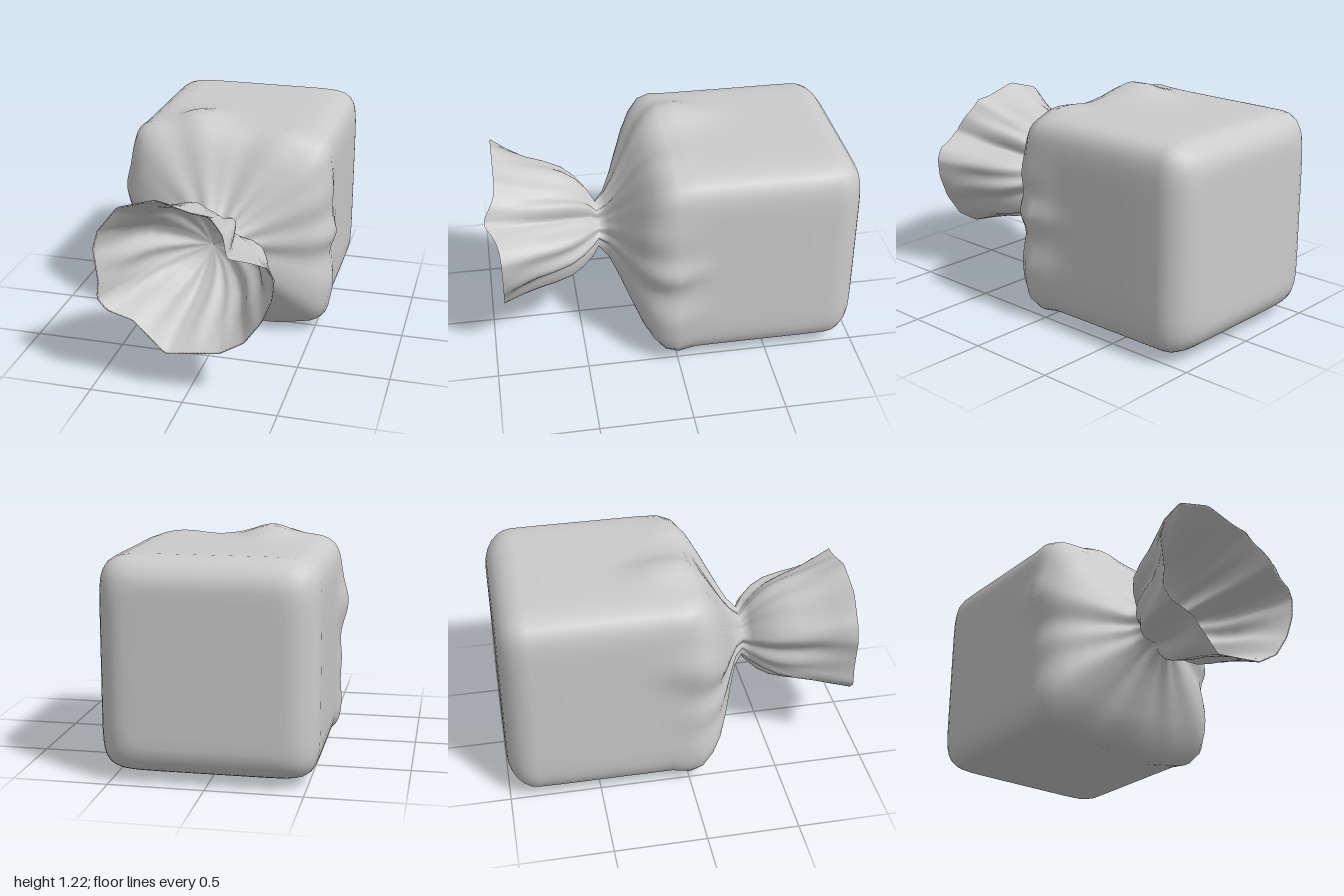
import * as THREE from 'three';

const SIDES = 120;

// Ragged outline of the open mouth, [x, y], counter-clockwise
const MOUTH_Y = 0.62;
const LIP = [
  [0.46, 0.72], [0.43, 0.78], [0.24, 0.84], [0.21, 0.93], [0.13, 1.02], [0.04, 1.03], [-0.14, 1.08],
  [-0.34, 1.02], [-0.45, 0.88], [-0.48, 0.78], [-0.46, 0.6], [-0.47, 0.5], [-0.42, 0.44], [-0.28, 0.4],
  [-0.11, 0.23], [0.04, 0.25], [0.18, 0.27], [0.31, 0.35], [0.4, 0.48], [0.45, 0.61],
].map(([x, y]) => new THREE.Vector2(x, y - MOUTH_Y));

// Shoulder drawn in to the neck: z, half width, half height
const SHOULDER = [
  [0, 0.575, 0.57], [0.07, 0.565, 0.55], [0.13, 0.53, 0.49], [0.18, 0.48, 0.41],
  [0.23, 0.39, 0.32], [0.28, 0.28, 0.235], [0.33, 0.18, 0.165], [0.38, 0.13, 0.12],
];

// Flare from the neck to the rim: z, share of the mouth outline
const FLARE = [[0.42, 0.12], [0.48, 0.33], [0.55, 0.5], [0.64, 0.62], [0.74, 0.72], [0.84, 0.86], [0.93, 1]];

// Bulges near the shoulder: angle, z, height, angular width, z width
const BULGES = [
  [1.87, -0.08, 0.065, 0.22, 0.16],
  [-1.24, -0.02, 0.035, 0.22, 0.16],
  [2.8, 0, 0.03, 0.16, 0.14],
  [0.02, 0, 0.022, 0.12, 0.12],
  [-0.45, 0.03, 0.025, 0.14, 0.14],
];

const { lerp, clamp } = THREE.MathUtils;
const bell = (t) => Math.exp(-t * t);
const angleGap = (a, b) => Math.atan2(Math.sin(a - b), Math.cos(a - b));

// Distance to the mouth outline along direction a
function lipRadius(a) {
  const d = new THREE.Vector2(Math.cos(a), Math.sin(a));
  for (let i = 0; i < LIP.length; i++) {
    const p = LIP[i];
    const e = LIP[(i + 1) % LIP.length].clone().sub(p);
    const den = d.cross(e);
    const t = p.cross(e) / den;
    const u = p.cross(d) / den;
    if (t > 0 && u >= -1e-6 && u <= 1 + 1e-6) return t;
  }
  return 0.4;
}

// Gathered cloth: irregular radial folds with one deep crease
function folds(a) {
  return 0.7 * Math.sin(7 * a + 0.6) + 0.55 * Math.sin(11 * a + 2.1 + Math.sin(2 * a))
    + 0.3 * Math.sin(17 * a + 1.3) - 1.6 * bell(angleGap(a, 0.85) / 0.1);
}

// Rings from the back, over the body, out to the rim and back inside the funnel
function makeRings() {
  const rings = [];
  const add = (z, w, h, cy, n, fold, blend) => rings.push({ z, w, h, cy, n, fold, blend });

  // Flat back with a rounded edge
  for (const r of [0.001, 0.2, 0.34]) add(-1, r, r, 0.6, 9, 0, 0);
  for (let i = 0; i <= 6; i++) {
    const t = (i / 6) * Math.PI / 2;
    const r = 0.4 + 0.16 * Math.sin(t);
    add(-0.84 - 0.16 * Math.cos(t), r, r, 0.6, 9, 0, 0);
  }

  // Straight sides
  for (let z = -0.7; z < -0.05; z += 0.1) add(z, 0.563, 0.56, 0.6, 9, 0, 0);

  // Shoulder turns from square to round as the folds deepen
  for (const [z, w, h] of SHOULDER) {
    const square = (w - 0.13) / 0.445;
    add(z, w, h, 0.595 + 0.015 * (1 - square), 2 + 6.5 * square ** 1.3, 0.01 + 0.08 * (1 - square) ** 0.7, 0);
  }

  // Outside of the flare, then its inside, closed at the neck
  for (const [z, s] of FLARE) add(z, 0.16, 0.14, MOUTH_Y, 2, 0.095 * (1 - s * s), s);
  for (const [z, s] of FLARE.slice().reverse()) {
    const r = 0.09 + 0.045 * s;
    add(z - 0.004, r, r, MOUTH_Y, 2, 0.09 * (1 - s * s), s - 0.03);
  }
  add(0.39, 0.04, 0.04, MOUTH_Y, 2, 0, 0);
  add(0.38, 0.001, 0.001, MOUTH_Y, 2, 0, 0);
  return rings;
}

function sackGeometry() {
  const rings = makeRings();
  const lip = Array.from({ length: SIDES }, (_, j) => lipRadius((j / SIDES) * Math.PI * 2));
  const positions = [];
  const indices = [];
  rings.forEach(({ z, w, h, cy, n, fold, blend }, i) => {
    for (let j = 0; j < SIDES; j++) {
      const a = (j / SIDES) * Math.PI * 2;
      const c = Math.cos(a);
      const s = Math.sin(a);
      const base = Math.pow(Math.abs(c / w) ** n + Math.abs(s / h) ** n, -1 / n);
      let r = lerp(base, lip[j], blend) * (1 + fold * folds(a + 0.25 * blend));
      if (z > -0.6 && z < 0.35) {
        for (const [ba, bz, height, wa, wz] of BULGES) {
          r += height * bell(angleGap(a, ba) / wa) * bell((z - bz) / wz);
        }
      }
      // The rim reaches furthest forward at its notch
      const rim = 0.07 * blend ** 4 * bell(angleGap(a, 0.74) / 0.25);
      positions.push(r * c, clamp(cy + r * s, 0, 1.23), z + rim);
      if (i < rings.length - 1) {
        const k = (j + 1) % SIDES;
        const p = i * SIDES;
        const q = p + SIDES;
        indices.push(p + j, p + k, q + j, p + k, q + k, q + j);
      }
    }
  });
  const geometry = new THREE.BufferGeometry();
  geometry.setAttribute('position', new THREE.Float32BufferAttribute(positions, 3));
  geometry.setIndex(indices);
  geometry.computeVertexNormals();
  return geometry;
}

export function createModel() {
  const group = new THREE.Group();
  group.name = 'tiedSack';
  const material = new THREE.MeshStandardMaterial({ color: 0xcccccc, side: THREE.DoubleSide });
  const sack = new THREE.Mesh(sackGeometry(), material);
  sack.name = 'sackWithGatheredMouth';
  group.add(sack);
  return group;
}
